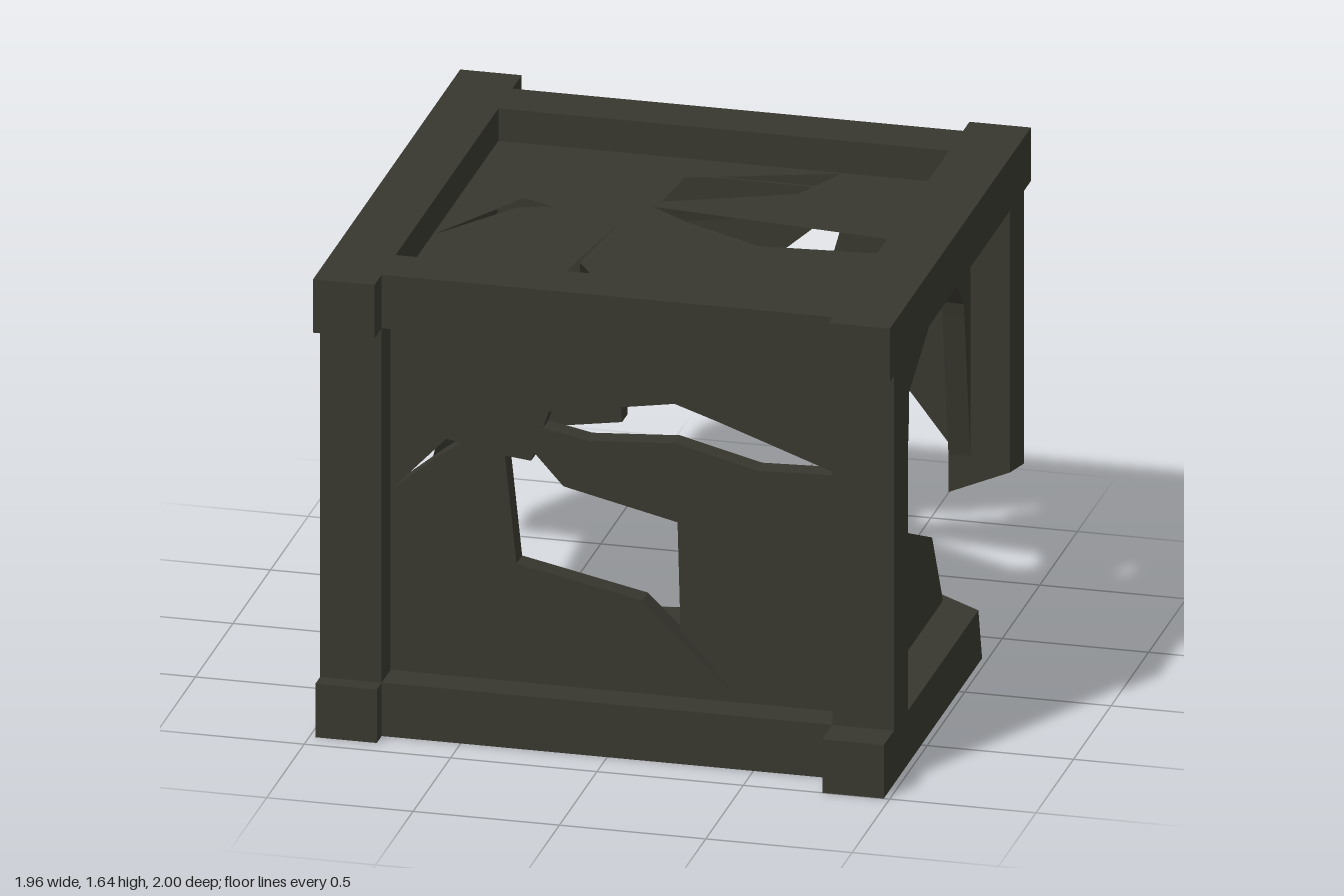
import * as THREE from 'three';

const wood = new THREE.MeshStandardMaterial({ color: 0x37362e });
wood.name = 'dark wood';

const X0 = 0.77, X1 = 0.98, Z0 = 0.68, Z1 = 0.865, Y0 = 0.19, Y1 = 1.45, H = 1.64, T = 0.075;

export function createModel() {
  const crate = new THREE.Group();
  crate.name = 'brokenCrate';

  const add = (name, geo) => {
    const m = new THREE.Mesh(geo, wood);
    m.name = name;
    crate.add(m);
    return m;
  };

  // Beam between two corners; bend(v) may move the corners to make a splintered end
  const beam = (name, [x0, x1], [y0, y1], [z0, z1], bend) => {
    const geo = new THREE.BoxGeometry(x1 - x0, y1 - y0, z1 - z0);
    geo.translate((x0 + x1) / 2, (y0 + y1) / 2, (z0 + z1) / 2);
    if (bend) {
      const p = geo.attributes.position, v = new THREE.Vector3();
      for (let i = 0; i < p.count; i++) {
        bend(v.fromBufferAttribute(p, i));
        p.setXYZ(i, v.x, v.y, v.z);
      }
      geo.computeVertexNormals();
    }
    return add(name, geo);
  };

  // Board cut from an outline with holes; flip negates one coordinate for z-based boards
  const slab = (name, outline, holes = [], flip = [1, 1]) => {
    const pts = (list) => list.map(([a, b]) => new THREE.Vector2(a * flip[0], b * flip[1]));
    const shape = new THREE.Shape(pts(outline));
    for (const h of holes) shape.holes.push(new THREE.Path(pts(h)));
    return add(name, new THREE.ExtrudeGeometry(shape, { depth: T, bevelEnabled: false }));
  };
  const frontBoard = (name, z, o, h) => { slab(name, o, h).position.z = z; };
  const sideBoard = (name, x, o, h) => {
    const m = slab(name, o, h, [-1, 1]);
    m.rotation.y = Math.PI / 2;
    m.position.x = x;
  };
  const flatBoard = (name, y, o, h) => {
    const m = slab(name, o, h, [1, -1]);
    m.rotation.x = -Math.PI / 2;
    m.position.y = y;
  };

  // Top frame
  beam('topLeftRail', [X0, X1], [Y1, H], [-0.96, 0.92]);
  beam('topRightRail', [-X1, -X0], [Y1, H], [-1.0, 0.96]);
  beam('topFrontRail', [-X0, X0], [Y1, H], [Z0, Z1]);
  beam('topBackRail', [-X0, X0], [Y1, H], [-0.875, -0.69]);

  // Bottom frame, side rails snapped off towards the back
  beam('bottomFrontRail', [-X0, X0], [0, Y0], [Z0, Z1]);
  beam('bottomLeftRail', [X0, X1], [0, Y0], [-0.4, 1.0], (v) => {
    if (v.z > 0) return;
    const top = v.y > 0.1;
    v.z = v.x > 0.9 ? (top ? -0.26 : -0.31) : (top ? -0.41 : -0.43);
  });
  beam('bottomRightRail', [-X1, -X0], [0, Y0], [-0.4, 0.93], (v) => {
    if (v.z > 0) return;
    const top = v.y > 0.1;
    v.z = v.x < -0.9 ? (top ? -0.3 : -0.36) : (top ? -0.33 : -0.41);
  });

  // Corner posts, the back pair hang broken above the ground
  for (const [side, s] of [['Left', 1], ['Right', -1]]) {
    const xs = s > 0 ? [X0, X1] : [-X1, -X0];
    beam('front' + side + 'Post', xs, [Y0, Y1], [Z0, Z1]);
    beam('back' + side + 'Post', xs, [0.5, Y1], [-0.87, -Z0], (v) => {
      if (v.y > 1) return;
      const outer = Math.abs(v.x) > 0.9, back = v.z < -0.8;
      if (s > 0) v.y = outer ? (back ? 0.48 : 0.52) : (back ? 0.5 : 0.43);
      else v.y = outer ? (back ? 0.48 : 0.5) : (back ? 0.56 : 0.5);
    });
  }

  // Front panel with three breaks
  frontBoard('frontPanel', 0.67,
    [[-0.8, 0.17], [0.8, 0.17], [0.8, 1.47], [-0.8, 1.47]],
    [
      [[-0.38, 0.99], [-0.29, 0.98], [-0.28, 1.01], [-0.18, 0.9], [0.21, 0.81],
        [0.22, 0.43], [0.42, 0.2], [0.09, 0.52], [-0.34, 0.61]],
      [[-0.25, 1.1], [-0.23, 1.16], [0.2, 1.23], [0.35, 1.18], [0.77, 1.03],
        [0.48, 1.02], [0.2, 1.09], [-0.1, 1.07]],
      [[-0.77, 0.83], [-0.58, 1.03], [-0.53, 1.02], [-0.6, 0.97]],
    ]);

  // Back panel, two remnants hanging from the top rail
  frontBoard('backPanelRight', -0.755,
    [[-0.79, 1.47], [0.43, 1.47], [0.42, 1.42], [0.2, 1.23], [0.15, 1.19], [-0.18, 1.09],
      [-0.29, 0.99], [-0.37, 0.98], [-0.345, 0.57], [-0.79, 0.5]]);
  frontBoard('backPanelLeft', -0.755,
    [[0.79, 1.47], [0.44, 1.47], [0.36, 1.18], [0.32, 1.12], [0.45, 1.02], [0.79, 0.58]]);

  // Left panel in pieces (z, y)
  sideBoard('leftPanelLower', X0,
    [[0.7, 0.17], [0.7, 1.06], [0.58, 0.78], [0.5, 0.72], [0.18, 0.62], [-0.17, 0.47],
      [-0.3, 0.22], [-0.32, 0.17]]);
  sideBoard('leftPanelUpperFront', X0,
    [[0.7, 1.47], [0.7, 1.09], [0.6, 0.88], [0.52, 0.74], [0.18, 0.63], [0.17, 0.74], [0.14, 1.0],
      [0.14, 1.1], [0, 1.17], [-0.16, 1.25], [-0.27, 1.47]]);
  sideBoard('leftPanelUpperBack', X0,
    [[-0.27, 1.47], [-0.59, 1.14], [-0.6, 1.09], [-0.69, 0.5], [-0.7, 1.47]]);

  // Right panel with a torn back edge (z, y)
  sideBoard('rightPanel', -X0 - T,
    [[0.7, 0.17], [0.7, 1.47], [-0.7, 1.47], [-0.7, 0.46], [-0.57, 0.71], [-0.2, 0.78],
      [-0.16, 0.93], [-0.14, 0.48], [-0.3, 0.22], [-0.32, 0.17]],
    [
      [[-0.15, 0.955], [0.17, 0.74], [0.26, 0.69], [0.65, 0.85], [0.55, 0.93], [0.14, 1.0]],
      [[-0.13, 1.03], [-0.08, 1.2], [0.13, 1.32], [0, 1.16]],
    ]);

  // Lid board with breaks (x, z)
  flatBoard('lidPanel', 1.45,
    [[-0.8, -0.71], [0.8, -0.71], [0.8, 0.7], [-0.8, 0.7]],
    [
      [[-0.09, -0.52], [0.4, -0.68], [0.31, -0.47], [-0.11, -0.29]],
      [[-0.13, -0.24], [0.77, -0.14], [0.77, -0.02], [0.3, 0.02], [0.02, -0.13]],
      [[-0.56, -0.21], [-0.45, -0.16], [-0.56, -0.12], [-0.77, 0.19], [-0.6, -0.13]],
      [[-0.2, -0.05], [-0.235, 0.31], [0, 0.67], [-0.26, 0.4]],
    ]);

  // Floor board, its back half gone (x, z)
  flatBoard('floorPanel', 0.115,
    [[-0.79, 0.7], [0.79, 0.7], [0.79, -0.3], [0.5, -0.02], [0.26, -0.09], [-0.39, 0.04],
      [-0.72, -0.35], [-0.79, -0.35]]);

  return crate;
}
